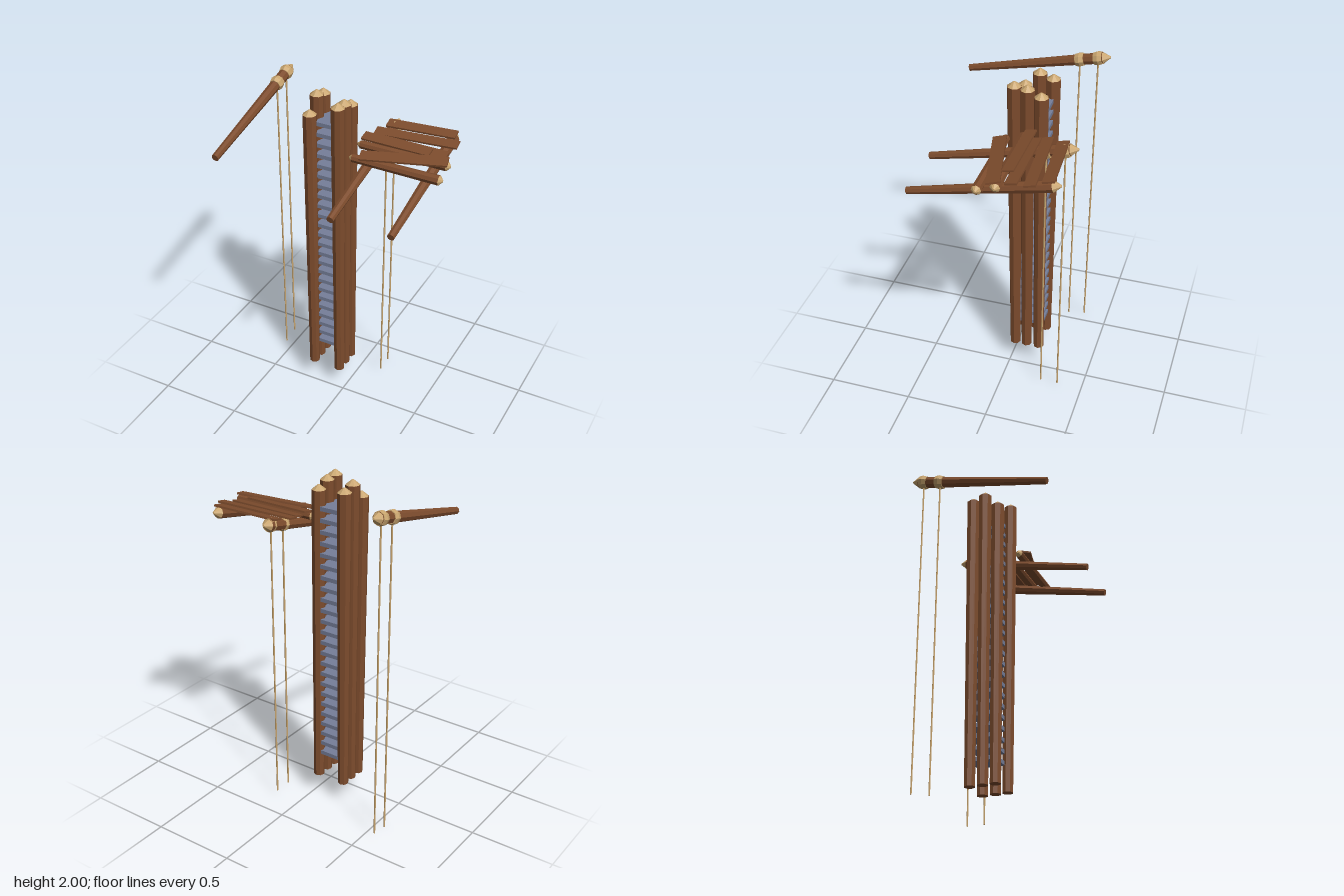
import * as THREE from 'three';

const mat = (name, color, flat = true) => {
  const m = new THREE.MeshStandardMaterial({ color, flatShading: flat });
  m.name = name;
  return m;
};

export function createModel() {
  const model = new THREE.Group();
  model.name = 'ladderTower';
  const bark = mat('bark brown', 0x7d4c2d);
  const cutWood = mat('cut wood tan', 0xcaa670);
  const slate = mat('slate blue', 0x767f9a);
  const UP = new THREE.Vector3(0, 1, 0);

  // Tapered cylinder running between two points
  function rod(name, a, b, ra, rb, material, sides = 8, parent = model) {
    const p = new THREE.Vector3(...a), q = new THREE.Vector3(...b);
    const dir = q.clone().sub(p);
    const mesh = new THREE.Mesh(new THREE.CylinderGeometry(rb, ra, dir.length(), sides), material);
    mesh.position.copy(p).add(q).multiplyScalar(0.5);
    mesh.quaternion.setFromUnitVectors(UP, dir.normalize());
    mesh.name = name;
    parent.add(mesh);
    return mesh;
  }

  // Log with a pointed, pale end at b (and optionally at a)
  function log(name, a, b, ra, rb, tip, bothEnds = false) {
    const g = new THREE.Group();
    g.name = name;
    const p = new THREE.Vector3(...a), q = new THREE.Vector3(...b);
    const d = q.clone().sub(p).normalize();
    rod(name + 'Trunk', a, b, ra, rb, bark, 8, g);
    rod(name + 'Tip', b, q.clone().addScaledVector(d, tip).toArray(), rb * 0.97, 0.006, cutWood, 8, g);
    if (bothEnds) {
      rod(name + 'Tip', a, p.clone().addScaledVector(d, -tip).toArray(), ra * 0.97, 0.006, cutWood, 8, g);
    }
    model.add(g);
  }

  // Six upright poles: x at foot, x at top, z at foot, z at top, top height
  [
    [-0.215, -0.218, -0.027, -0.024, 1.885],
    [-0.215, -0.217, -0.102, -0.107, 1.97],
    [-0.215, -0.217, -0.178, -0.183, 1.945],
    [-0.04, -0.038, -0.027, -0.014, 1.97],
    [-0.04, -0.038, -0.1, -0.088, 1.96],
    [-0.04, -0.038, -0.178, -0.165, 1.925],
  ].forEach(([x0, x1, z0, z1, top]) => log('pole', [x0, 0.14, z0], [x1, top, z1], 0.032, 0.041, 0.028));

  // Ladder steps between the poles
  const stepGeo = new THREE.BoxGeometry(0.13, 0.024, 0.16);
  for (let i = 0; i < 24; i++) {
    const step = new THREE.Mesh(stepGeo, slate);
    step.name = 'step';
    step.position.set(-0.127, 0.304 + i * 0.0663, -0.115);
    model.add(step);
  }

  // Sloping beams
  const slope = 0.235;
  const beam = (x, y) => log('beam', [x, y, 0.415], [x, y + 0.795 * slope, -0.38], 0.021, 0.034, 0.043);
  beam(-0.555, 1.745);
  beam(0.14, 1.56);
  beam(0.49, 1.56);

  // Rope bindings with ropes hanging from them
  function hangingRope(x, beamY, z, foot) {
    const y = beamY + (0.415 - z) * slope;
    const w = 0.024;
    rod('binding', [x, y - w * slope, z + w], [x, y, z], 0.036, 0.042, cutWood);
    rod('binding', [x, y, z], [x, y + w * slope, z - w], 0.042, 0.037, cutWood);
    rod('rope', [x, foot, z], [x, y, z], 0.005, 0.005, cutWood, 6);
  }
  hangingRope(-0.555, 1.745, -0.247, 0);
  hangingRope(-0.555, 1.745, -0.352, 0.02);
  hangingRope(0.147, 1.56, -0.247, 0.035);
  hangingRope(0.147, 1.56, -0.352, 0.035);

  // Cross logs carrying the platform
  log('crossLog', [0.06, 1.7, 0.002], [0.572, 1.7, 0.002], 0.024, 0.029, 0.02, true);
  log('crossLog', [0.06, 1.735, -0.098], [0.572, 1.735, -0.098], 0.024, 0.029, 0.02, true);

  // Platform planks: centre x, y, z, length, width, turn, roll
  [
    [0.313, 1.776, -0.345, 0.405, 0.066, 0.07, 0.01],
    [0.32, 1.764, -0.257, 0.482, 0.064, 0.075, 0.01],
    [0.315, 1.75, -0.172, 0.45, 0.068, -0.01, 0],
    [0.258, 1.77, -0.134, 0.405, 0.064, -0.015, 0],
    [0.346, 1.752, -0.035, 0.48, 0.076, 0.235, 0.01],
  ].forEach(([x, y, z, len, width, turn, roll]) => {
    const plank = new THREE.Mesh(new THREE.BoxGeometry(len, 0.011, width), bark);
    plank.name = 'plank';
    plank.position.set(x, y, z);
    plank.rotation.set(0.2, turn, roll);
    model.add(plank);
  });

  return model;
}
